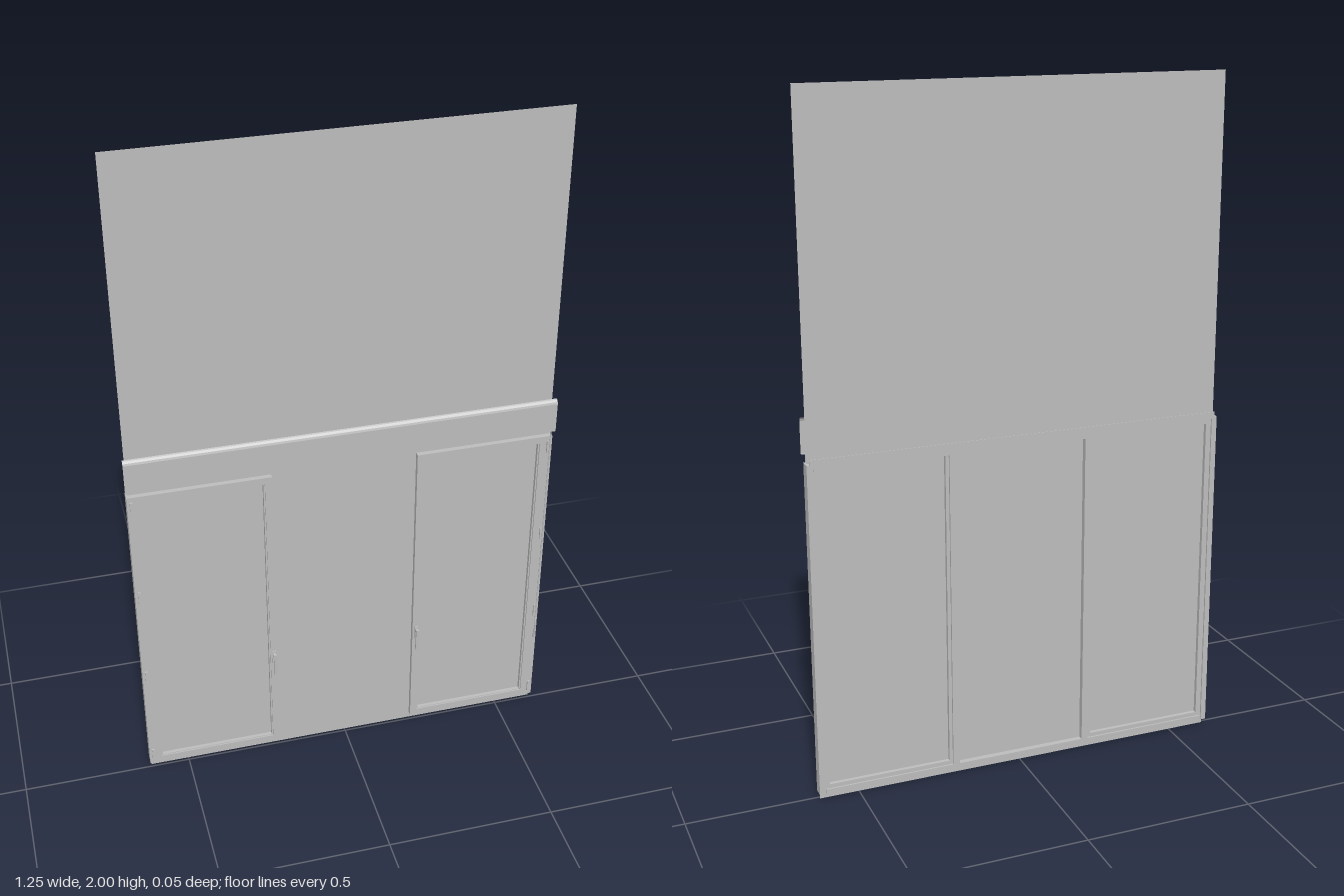
import * as THREE from 'three';

export function createModel() {
  const model = new THREE.Group();
  const grey = new THREE.MeshStandardMaterial({ color: 0xbcbcbc, side: THREE.DoubleSide });
  grey.name = 'plain grey';

  const add = (name, geometry, parent = model) => {
    const mesh = new THREE.Mesh(geometry, grey);
    mesh.name = name;
    parent.add(mesh);
    return mesh;
  };
  // Box given by its limits on each axis
  const box = (name, x0, x1, y0, y1, z0, z1, parent) => {
    const g = new THREE.BoxGeometry(x1 - x0, y1 - y0, z1 - z0);
    g.translate((x0 + x1) / 2, (y0 + y1) / 2, (z0 + z1) / 2);
    return add(name, g, parent);
  };
  // Rectangular frame with an opening, extruded along z
  const frame = (name, x0, x1, y0, y1, border, z0, z1, parent) => {
    const rect = (P, a, b, c, d) => {
      const p = new P();
      p.moveTo(a, c); p.lineTo(b, c); p.lineTo(b, d); p.lineTo(a, d); p.closePath();
      return p;
    };
    const s = rect(THREE.Shape, x0, x1, y0, y1);
    s.holes.push(rect(THREE.Path, x0 + border, x1 - border, y0 + border, y1 - border));
    const g = new THREE.ExtrudeGeometry(s, { depth: z1 - z0, bevelEnabled: false });
    g.translate(0, 0, z0);
    return add(name, g, parent);
  };

  // Tall thin sheet behind the doors and above them
  const sheetZ = -0.009;
  const sheet = new THREE.PlaneGeometry(1.232, 2);
  sheet.translate(0, 1, sheetZ);
  add('sheet', sheet);

  // Open folded header cover, as [y, z] steps across its section
  const header = new THREE.Group();
  header.name = 'headerCover';
  model.add(header);
  const section = [[1.027, 0.009], [1.027, 0.018], [1.118, 0.018], [1.124, 0.016], [1.129, 0.011], [1.131, 0.007]];
  for (let i = 0; i < section.length - 1; i++) {
    const [ya, za] = section[i], [yb, zb] = section[i + 1];
    const g = new THREE.PlaneGeometry(1.246, Math.hypot(yb - ya, zb - za));
    g.rotateX(Math.atan2(zb - za, yb - ya));
    g.translate(0, (ya + yb) / 2, (za + zb) / 2);
    add('headerStrip', g, header);
  }

  // Rails across the back
  box('topRail', -0.6, 0.6, 0.985, 1.003, -0.025, sheetZ);
  box('topFlange', -0.612, 0.612, 0.998, 1.02, -0.027, -0.025);
  box('bottomRail', -0.6, 0.6, 0.02, 0.034, -0.026, sheetZ);

  // Both sides, mirrored
  for (const s of [-1, 1]) {
    const side = new THREE.Group();
    side.name = s > 0 ? 'leftDoor' : 'rightDoor';
    model.add(side);
    const mbox = (name, a, b, y0, y1, z0, z1) =>
      box(name, Math.min(s * a, s * b), Math.max(s * a, s * b), y0, y1, z0, z1, side);
    const mframe = (name, a, b, y0, y1, w, z0, z1) =>
      frame(name, Math.min(s * a, s * b), Math.max(s * a, s * b), y0, y1, w, z0, z1, side);

    // Posts
    mbox('jamb', 0.604, 0.62, 0.02, 1.005, -0.026, 0.006);
    mbox('jambStep', 0.588, 0.604, 0.02, 1.0, -0.021, sheetZ);
    mbox('mullion', 0.196, 0.216, 0.02, 1.0, -0.026, sheetZ);
    mbox('mullionStep', 0.216, 0.226, 0.02, 1.0, -0.02, sheetZ);
    mbox('sill', 0.226, 0.588, 0.034, 0.046, -0.021, sheetZ);

    // Door sash with a raised bead around the pane
    mframe('sash', 0.212, 0.604, 0.02, 1.005, 0.021, sheetZ, 0.006);
    mframe('bead', 0.231, 0.585, 0.037, 0.988, 0.006, sheetZ, 0.002);

    // Hinges
    for (const y of [0.055, 0.365, 0.66, 0.97])
      mbox('hinge', 0.604, 0.612, y - 0.02, y + 0.02, 0.006, 0.011);

    // Handle: base plate, neck and lever
    mbox('handlePlate', 0.217, 0.228, 0.335, 0.38, 0.006, 0.01);
    mbox('handleNeck', 0.219, 0.226, 0.362, 0.374, 0.01, 0.022);
    const lever = mbox('handleLever', 0.218, 0.227, 0.3, 0.378, 0.021, 0.027);
    const p = lever.geometry.attributes.position;
    for (let i = 0; i < p.count; i++) if (p.getY(i) < 0.31) p.setZ(i, p.getZ(i) - 0.003);
    lever.geometry.computeVertexNormals();
  }

  // Winding rod at one side, with its crank grip
  const rod = new THREE.CylinderGeometry(0.002, 0.002, 0.69, 8);
  rod.translate(0.61, 0.685, 0.016);
  add('windingRod', rod);
  const grip = new THREE.TubeGeometry(new THREE.CatmullRomCurve3([
    new THREE.Vector3(0.61, 0.345, 0.016),
    new THREE.Vector3(0.61, 0.325, 0.021),
    new THREE.Vector3(0.61, 0.26, 0.011),
  ]), 8, 0.003, 8);
  add('crankGrip', grip);

  return model;
}
